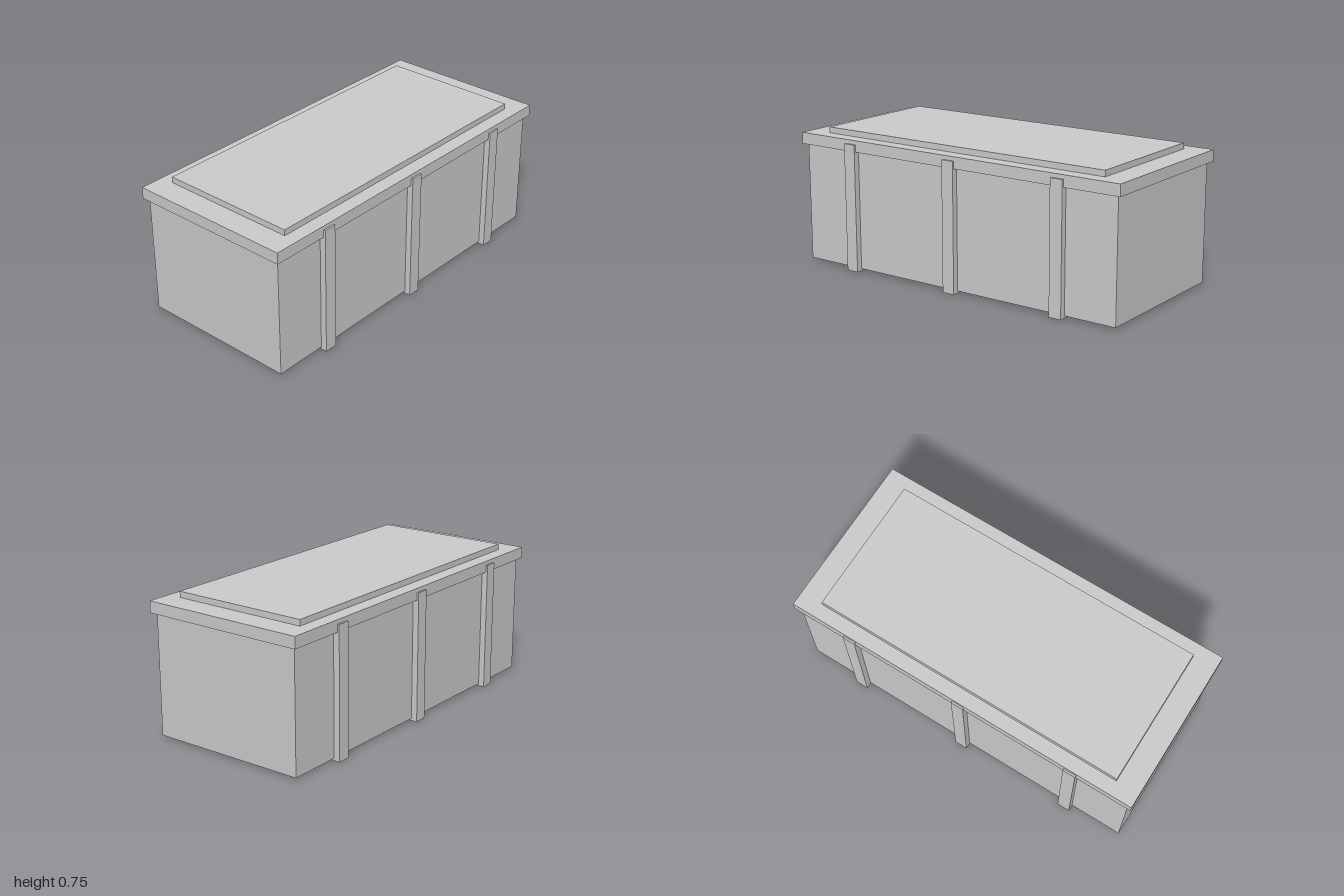
import * as THREE from 'three';

const material = new THREE.MeshStandardMaterial({ color: 0xcccccc, flatShading: true });

// Box given by width, depth and its bottom and top heights
function slab(name, width, depth, bottom, top, z = 0) {
  const mesh = new THREE.Mesh(new THREE.BoxGeometry(width, top - bottom, depth), material);
  mesh.name = name;
  mesh.position.set(0, (bottom + top) / 2, z);
  return mesh;
}

export function createModel() {
  const model = new THREE.Group();
  model.name = 'chest';

  // Main box
  model.add(slab('body', 0.866, 1.954, 0.012, 0.656));

  // Overhanging lid with a raised panel
  model.add(slab('lid', 0.912, 2, 0.656, 0.718));
  model.add(slab('lidPanel', 0.758, 1.74, 0.718, 0.75));

  // Straps wrapping under the box and up both sides
  for (const z of [-0.653, 0, 0.653]) {
    model.add(slab('strap', 0.932, 0.07, 0, 0.696, z));
  }

  return model;
}
